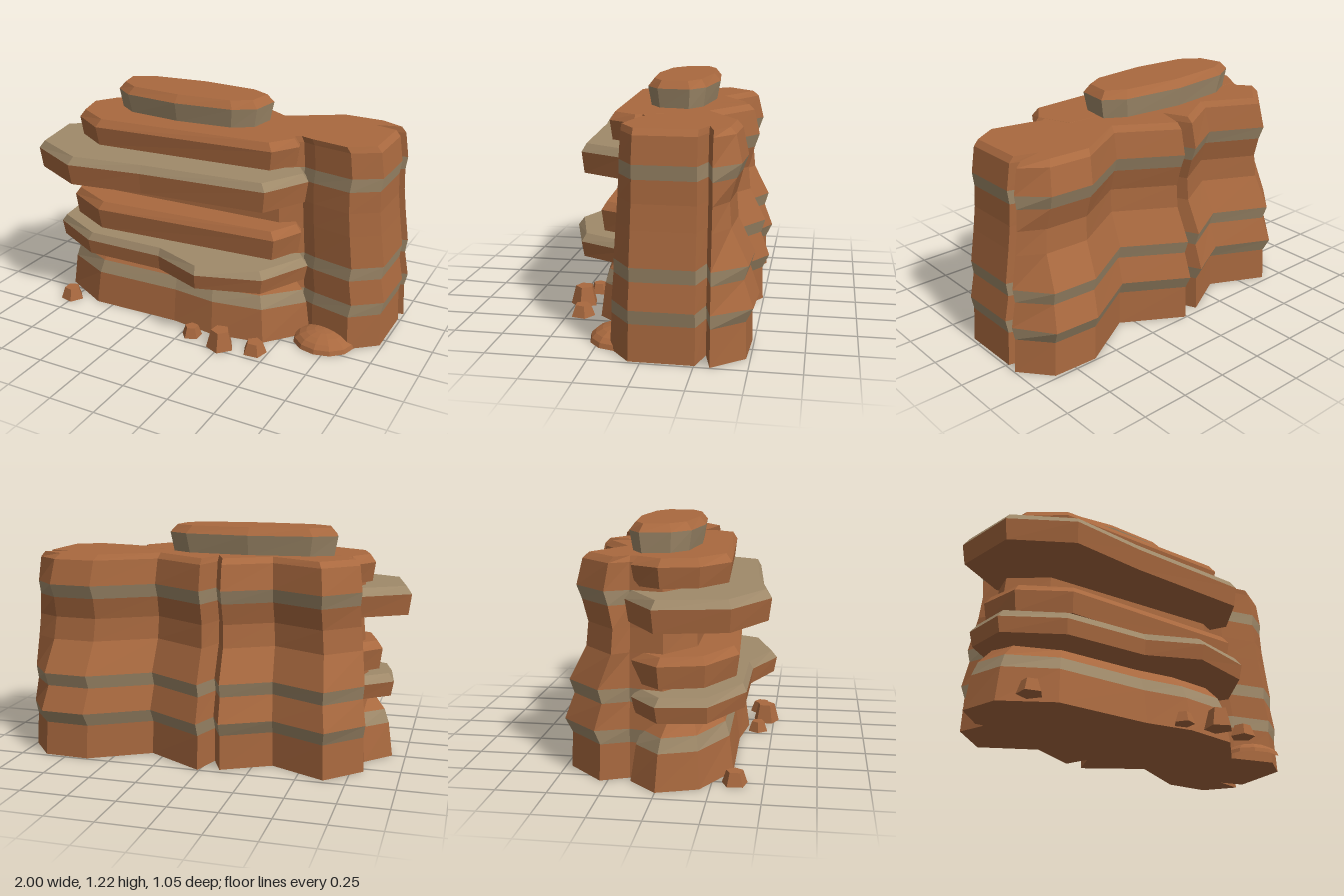
import * as THREE from 'three';

const brown = new THREE.MeshStandardMaterial({ color: 0xa9693f });
brown.name = 'red sandstone';
const tan = new THREE.MeshStandardMaterial({ color: 0xa08a6a });
tan.name = 'pale strata';
for (const m of [brown, tan]) m.flatShading = true;

// Loft through rings of [x, z] points; bands[i] is 1 where the wall above ring i is pale.
// Outlines run counter-clockwise seen from above.
function loft(name, rings, bands, topPale = 0) {
  const pos = [], geo = new THREE.BufferGeometry();
  const n = rings[0].pts.length;
  const put = (ring, i) => pos.push(ring.pts[i % n][0], ring.y, ring.pts[i % n][1]);
  const mark = (start, pale) => geo.addGroup(start, pos.length / 3 - start, pale);
  for (let r = 0; r < rings.length - 1; r++) {
    const lo = rings[r], hi = rings[r + 1], start = pos.length / 3;
    for (let i = 0; i < n; i++) {
      put(lo, i); put(lo, i + 1); put(hi, i + 1);
      put(lo, i); put(hi, i + 1); put(hi, i);
    }
    mark(start, bands[r] || 0);
  }
  // flat caps
  for (const top of [false, true]) {
    const ring = top ? rings[rings.length - 1] : rings[0], start = pos.length / 3;
    const flat = ring.pts.map(([x, z]) => new THREE.Vector2(x, -z));
    for (const [a, b, c] of THREE.ShapeUtils.triangulateShape(flat, [])) {
      for (const i of top ? [a, b, c] : [a, c, b]) put(ring, i);
    }
    mark(start, top ? topPale : 0);
  }
  geo.setAttribute('position', new THREE.Float32BufferAttribute(pos, 3));
  geo.computeVertexNormals();
  const mesh = new THREE.Mesh(geo, [brown, tan]);
  mesh.name = name;
  return mesh;
}

// Shrink an outline by distance d on every side of its bounding box.
function inset(pts, d) {
  const box = new THREE.Box2().setFromPoints(pts.map(p => new THREE.Vector2(...p)));
  const c = box.getCenter(new THREE.Vector2()), s = box.getSize(new THREE.Vector2());
  return pts.map(([x, z]) => [
    c.x + (x - c.x) * (1 - 2 * d / s.x),
    c.y + (z - c.y) * (1 - 2 * d / s.y)]);
}

function ledge(name, y0, y1, front, pale) {
  const pts = [...front, [0.45, -0.08], [-0.6, -0.14]];
  return loft(name, [
    { y: y0, pts: inset(pts, 0.12) },
    { y: y0 + 0.015, pts: inset(pts, 0.015) },
    { y: y1 - 0.04, pts },
    { y: y1, pts: inset(pts, 0.03) },
  ], [0, 0, pale], pale);
}

export function createModel() {
  const model = new THREE.Group();
  model.name = 'layeredCliff';

  // Cliff body: one outline, pushed in and out at each layer
  const outline = [
    [-0.76, -0.15], [-0.8, 0.02], [-0.6, 0.19], [0.45, 0.18], [0.56, 0.09],
    [0.63, 0.12], [0.85, 0.175], [0.99, 0.06], [0.99, -0.255], [0.86, -0.29],
    [1.0, -0.325], [0.87, -0.51], [0.63, -0.52], [0.32, -0.34], [0.01, -0.525],
    [-0.04, -0.37], [-0.1, -0.495], [-0.35, -0.36], [-0.64, -0.5], [-0.82, -0.31],
  ];
  // height, sideways scale, depth of the back wall, pale band above
  const layers = [
    [0, 0.995, 0.49, 0], [0.18, 0.985, 0.485, 1], [0.25, 1, 0.52, 0],
    [0.38, 0.975, 0.473, 1], [0.45, 0.985, 0.495, 0], [0.62, 0.96, 0.41, 0],
    [0.74, 0.945, 0.4, 0], [0.85, 0.94, 0.43, 1], [0.92, 0.95, 0.455, 0],
    [1.05, 0.93, 0.425, 0], [1.079, 0.905, 0.395, 0],
  ];
  const rings = layers.map(([y, sx, back]) => ({
    y,
    pts: outline.map(([x, z]) => {
      if (z > 0) return [x * sx, z * (1 - 0.28 * y)];
      const push = x > 0.8 && z > -0.4 ? 0 : THREE.MathUtils.clamp((-z - 0.2) / 0.15, 0, 1);
      return [x * sx, z + (0.52 - back) * push];
    }),
  }));
  model.add(loft('cliffBody', rings, layers.map(l => l[3])));

  // Overhanging ledges on the front, listed left to right
  model.add(
    ledge('topLedge', 0.925, 1.08,
      [[-0.73, -0.14], [-0.81, 0], [-0.76, 0.19], [-0.57, 0.32], [0.43, 0.26], [0.52, 0.12]], 0),
    ledge('upperPaleLedge', 0.755, 0.92,
      [[-0.74, -0.17], [-1, 0], [-0.93, 0.35], [-0.62, 0.515], [-0.22, 0.455], [0.46, 0.4], [0.59, 0.16]], 1),
    ledge('middleLedge', 0.46, 0.625,
      [[-0.74, -0.14], [-0.86, 0], [-0.8, 0.22], [-0.55, 0.36], [0.47, 0.3], [0.55, 0.13]], 0),
    ledge('lowerPaleLedge', 0.315, 0.45,
      [[-0.76, -0.14], [-0.925, 0], [-0.89, 0.24], [-0.6, 0.4], [-0.15, 0.4], [0.13, 0.515], [0.46, 0.41], [0.595, 0.14]], 1));

  // Sloping foot of the front wall
  const foot = [[-0.8, -0.14], [-0.93, 0], [-0.86, 0.2], [-0.6, 0.34], [-0.1, 0.33],
    [0.15, 0.365], [0.43, 0.32], [0.61, 0.11], [0.45, -0.1], [-0.6, -0.14]];
  model.add(loft('footWall', [
    { y: 0, pts: foot }, { y: 0.18, pts: inset(foot, 0.025) },
    { y: 0.25, pts: inset(foot, 0.05) }, { y: 0.32, pts: inset(foot, 0.11) },
  ], [0, 1, 0]));

  // Cap rock on the summit
  const cap = [[-0.63, -0.12], [-0.6, 0.03], [-0.49, 0.115], [-0.18, 0.15], [0.14, 0.12],
    [0.25, 0.05], [0.27, -0.12], [0.16, -0.19], [-0.18, -0.225], [-0.51, -0.19]];
  model.add(loft('capRock', [
    { y: 1.075, pts: inset(cap, 0.02) }, { y: 1.18, pts: cap }, { y: 1.22, pts: inset(cap, 0.035) },
  ], [1, 0]));

  // Earth mound against the pillar
  const mound = new THREE.Mesh(
    new THREE.SphereGeometry(1, 12, 5, 0, Math.PI * 2, 0, Math.PI / 2), brown);
  mound.name = 'mound';
  mound.scale.set(0.165, 0.075, 0.15);
  mound.position.set(0.71, 0, 0.155);
  model.add(mound);

  // Fallen rocks: x, z, radius, height, turn
  const rocks = [[-0.76, 0.36, 0.065, 0.065, 0.4], [0.06, 0.42, 0.055, 0.055, 1],
    [0.25, 0.455, 0.075, 0.1, 0.2], [0.43, 0.42, 0.065, 0.06, 0.7]];
  for (const [x, z, r, h, turn] of rocks) {
    const rock = new THREE.Mesh(new THREE.CylinderGeometry(r * 0.65, r, h, 5), brown);
    rock.name = 'fallenRock';
    rock.position.set(x, h / 2, z);
    rock.rotation.y = turn;
    model.add(rock);
  }
  return model;
}
